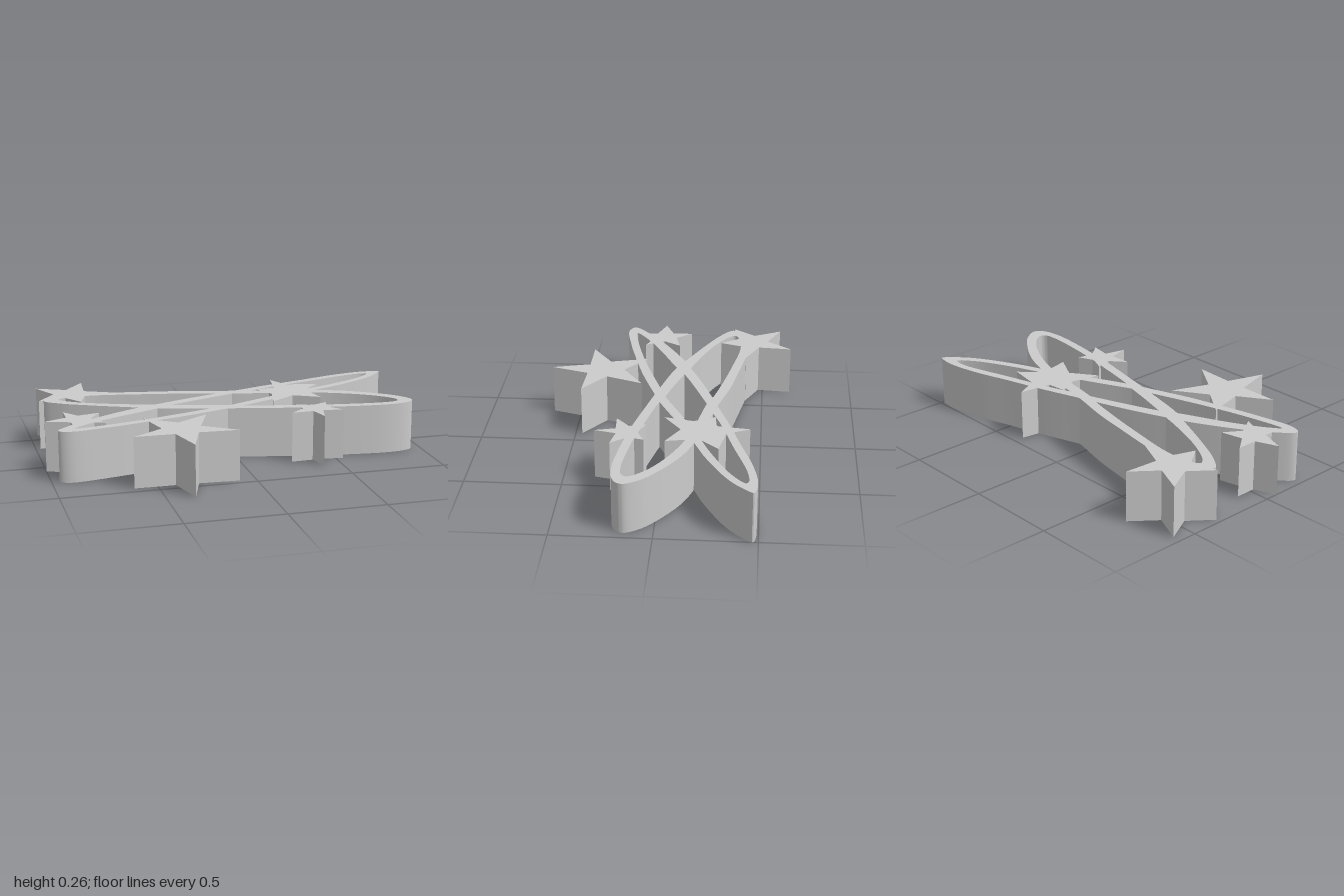
import * as THREE from 'three';
import { toCreasedNormals } from 'three/addons/utils/BufferGeometryUtils.js';

const HEIGHT = 0.265;
const material = new THREE.MeshStandardMaterial({ color: 0xcccccc });

// Outlines are [x, z] pairs on the ground plane, all running anticlockwise seen from above
const smoothLoop = (pts) =>
  new THREE.CatmullRomCurve3(pts.map(([x, z]) => new THREE.Vector3(x, -z, 0)), true, 'centripetal')
    .getPoints(120).slice(0, -1).map((p) => new THREE.Vector2(p.x, p.y));

function slab(name, shape) {
  const geo = new THREE.ExtrudeGeometry(shape, { depth: HEIGHT, bevelEnabled: false });
  geo.rotateX(-Math.PI / 2);
  const mesh = new THREE.Mesh(toCreasedNormals(geo, 0.5), material);
  mesh.name = name;
  return mesh;
}

function ring(name, outer, inner) {
  const shape = new THREE.Shape(smoothLoop(outer));
  shape.holes.push(new THREE.Path(smoothLoop(inner).reverse()));
  return slab(name, shape);
}

const star = (name, pts) =>
  slab(name, new THREE.Shape(pts.map(([x, z]) => new THREE.Vector2(x, -z))));

export function createModel() {
  const group = new THREE.Group();
  group.name = 'starOrbits';

  // Orbit rising from front left to back right
  group.add(ring('risingRing',
    [[-0.96, 0.25], [-0.91, 0.28], [-0.72, 0.255], [-0.5, 0.205], [-0.29, 0.15], [-0.05, 0.07], [0.05, 0.035],
      [0.28, -0.07], [0.51, -0.17], [0.67, -0.235], [0.88, -0.35], [0.96, -0.42], [1, -0.474],
      [0.96, -0.487], [0.88, -0.49], [0.72, -0.462], [0.51, -0.4], [0.28, -0.335], [0.08, -0.27],
      [-0.02, -0.24], [-0.24, -0.165], [-0.395, -0.105], [-0.49, -0.068], [-0.72, 0.055], [-0.88, 0.165]],
    [[-0.875, 0.23], [-0.72, 0.21], [-0.45, 0.145], [-0.13, 0.045], [-0.02, 0.01], [0.19, -0.085],
      [0.4, -0.175], [0.62, -0.26], [0.83, -0.365], [0.91, -0.435], [0.895, -0.447], [0.8, -0.44],
      [0.56, -0.37], [0.28, -0.29], [0.13, -0.235], [0.05, -0.21], [-0.31, -0.075], [-0.39, -0.03],
      [-0.665, 0.095], [-0.83, 0.19]]));

  // Orbit falling from back left to front right
  group.add(ring('fallingRing',
    [[-0.95, -0.325], [-0.88, -0.26], [-0.72, -0.175], [-0.49, -0.07], [-0.39, -0.025], [-0.13, 0.045],
      [-0.05, 0.065], [0.08, 0.095], [0.35, 0.155], [0.64, 0.2], [0.8, 0.212], [0.9, 0.2], [0.945, 0.175],
      [0.955, 0.14], [0.92, 0.075], [0.86, 0.015], [0.67, -0.11], [0.48, -0.18], [0.28, -0.23], [0.08, -0.27],
      [-0.15, -0.33], [-0.37, -0.37], [-0.57, -0.405], [-0.72, -0.42], [-0.88, -0.385]],
    [[-0.85, -0.305], [-0.72, -0.225], [-0.505, -0.14], [-0.395, -0.105], [-0.31, -0.075], [-0.13, -0.02],
      [-0.02, 0.01], [0.05, 0.035], [0.28, 0.088], [0.54, 0.14], [0.8, 0.167], [0.865, 0.156], [0.88, 0.13],
      [0.835, 0.065], [0.72, -0.02], [0.51, -0.115], [0.28, -0.17], [0.05, -0.215], [-0.02, -0.24],
      [-0.15, -0.273], [-0.4, -0.325], [-0.72, -0.372], [-0.87, -0.34]]));

  // Five-pointed stars, tip and notch alternating
  group.add(star('backLeftStar',
    [[-0.955, -0.595], [-0.88, -0.45], [-0.975, -0.33], [-0.83, -0.36], [-0.76, -0.26],
      [-0.72, -0.375], [-0.56, -0.405], [-0.71, -0.475], [-0.695, -0.655], [-0.8, -0.525]]));
  group.add(star('backRightStar',
    [[0.34, -0.445], [0.315, -0.275], [0.21, -0.265], [0.265, -0.155], [0.23, -0.003],
      [0.365, -0.095], [0.5, -0.022], [0.465, -0.19], [0.567, -0.293], [0.4, -0.325]]));
  group.add(star('frontRightStar',
    [[0.402, 0.34], [0.375, 0.233], [0.26, 0.238], [0.34, 0.17], [0.322, 0.083],
      [0.407, 0.12], [0.492, 0.083], [0.472, 0.165], [0.538, 0.248], [0.43, 0.228]]));
  group.add(star('leftStar',
    [[-0.885, -0.085], [-0.885, 0.022], [-1, 0.068], [-0.875, 0.113], [-0.87, 0.217],
      [-0.803, 0.128], [-0.705, 0.168], [-0.765, 0.068], [-0.705, -0.025], [-0.82, 0]]));
  group.add(star('frontStar',
    [[-0.358, 0.653], [-0.41, 0.452], [-0.62, 0.45], [-0.455, 0.342], [-0.505, 0.143],
      [-0.35, 0.258], [-0.177, 0.148], [-0.255, 0.345], [-0.085, 0.465], [-0.293, 0.455]]));

  return group;
}
